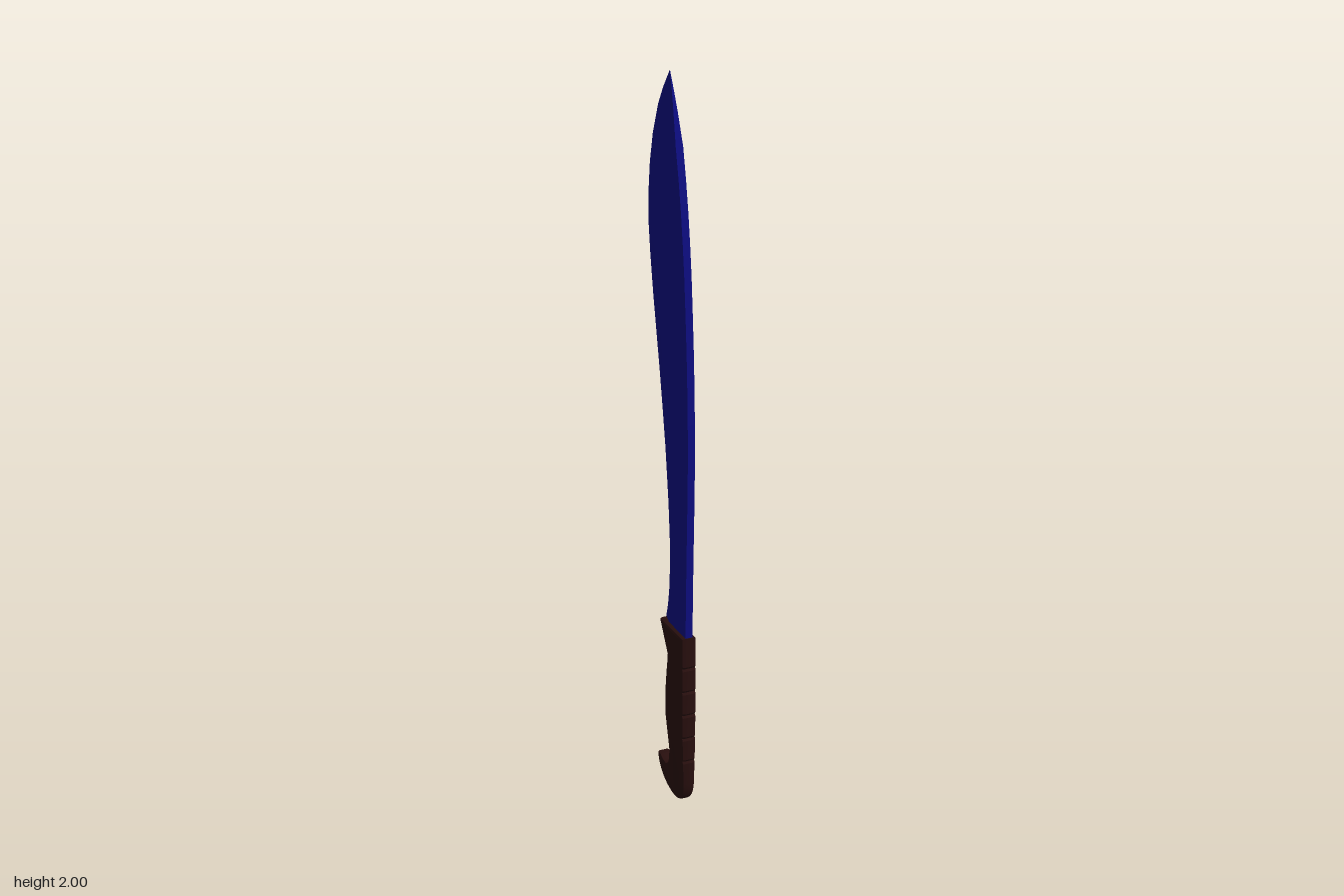
import * as THREE from 'three';
import { toCreasedNormals } from 'three/addons/utils/BufferGeometryUtils.js';

const bladeBlue = new THREE.MeshStandardMaterial({ color: 0x0d0d80 });
bladeBlue.name = 'bladeBlue';
const gripBrown = new THREE.MeshStandardMaterial({ color: 0x280f0e });
gripBrown.name = 'gripBrown';

// Blade: five-sided sections (flat spine, tapering sides, ground edge) joined up the height
function makeBlade() {
  const rows = [ // y, spine z, edge z
    [0.505, 0.12, -0.019], [0.515, 0.12, -0.022], [0.55, 0.121, -0.012], [0.6, 0.122, -0.004],
    [0.66, 0.123, 0], [0.75, 0.125, -0.001], [0.85, 0.128, -0.009], [1.0, 0.131, -0.028],
    [1.1, 0.13, -0.045], [1.2, 0.127, -0.063], [1.3, 0.122, -0.083], [1.4, 0.115, -0.103],
    [1.5, 0.107, -0.12], [1.58, 0.098, -0.13], [1.66, 0.087, -0.13], [1.74, 0.073, -0.121],
    [1.82, 0.056, -0.102], [1.9, 0.034, -0.07], [1.95, 0.018, -0.039], [2, 0, 0],
  ];
  const pos = [], index = [], n = 5;
  rows.forEach(([y, spine, edge], i) => {
    const t = 0.01 * Math.min(1, (2 - y) / 0.17);
    const bevel = edge + (spine - edge) * 0.22;
    pos.push(t, y, spine, 0.8 * t, y, bevel, 0, y, edge, -0.8 * t, y, bevel, -t, y, spine);
    if (i === rows.length - 1) return;
    for (let j = 0; j < n; j++) {
      const a = i * n + j, b = i * n + (j + 1) % n;
      index.push(a, b, a + n, b, b + n, a + n);
    }
  });
  const g = new THREE.BufferGeometry();
  g.setAttribute('position', new THREE.Float32BufferAttribute(pos, 3));
  g.setIndex(index);
  return toCreasedNormals(g, 0.12);
}

// Handle: side outline with a finger hook, extruded with chamfers and thinned toward the butt
function makeHandle() {
  const s = new THREE.Shape();
  s.moveTo(0.122, 0.51);
  s.lineTo(-0.022, 0.51);
  s.lineTo(0.025, 0.425);
  s.lineTo(0.022, 0.4);
  s.quadraticCurveTo(0.002, 0.28, 0.012, 0.23);
  s.lineTo(0.031, 0.14);
  s.quadraticCurveTo(0.031, 0.085, 0.006, 0.079);
  s.quadraticCurveTo(-0.014, 0.08, -0.025, 0.09);
  s.lineTo(-0.043, 0.09);
  s.quadraticCurveTo(-0.046, 0.065, -0.022, 0.036);
  s.quadraticCurveTo(0.012, 0.002, 0.06, 0);
  s.quadraticCurveTo(0.122, 0.006, 0.124, 0.07);
  // shallow grip notches along the back
  for (const y of [0.14, 0.21, 0.28, 0.35, 0.42]) {
    s.lineTo(0.124, y - 0.006);
    s.lineTo(0.12, y);
    s.lineTo(0.124, y + 0.006);
  }
  const g = new THREE.ExtrudeGeometry(s, {
    depth: 0.026, curveSegments: 8, bevelEnabled: true,
    bevelThickness: 0.008, bevelSize: 0.007, bevelOffset: -0.007, bevelSegments: 2,
  });
  g.translate(0, 0, -0.013);
  g.rotateY(-Math.PI / 2);
  const p = g.attributes.position;
  for (let i = 0; i < p.count; i++) {
    const y = p.getY(i);
    const k = 0.6 + 0.4 * Math.sqrt(Math.min(1, Math.max(0, y) / 0.22));
    p.setX(i, p.getX(i) * k);
  }
  return toCreasedNormals(g, 0.5);
}

export function createModel() {
  const model = new THREE.Group();
  model.name = 'machete';
  const add = (name, geometry, material) => {
    const mesh = new THREE.Mesh(geometry, material);
    mesh.name = name;
    model.add(mesh);
  };
  add('blade', makeBlade(), bladeBlue);
  add('handle', makeHandle(), gripBrown);
  return model;
}
